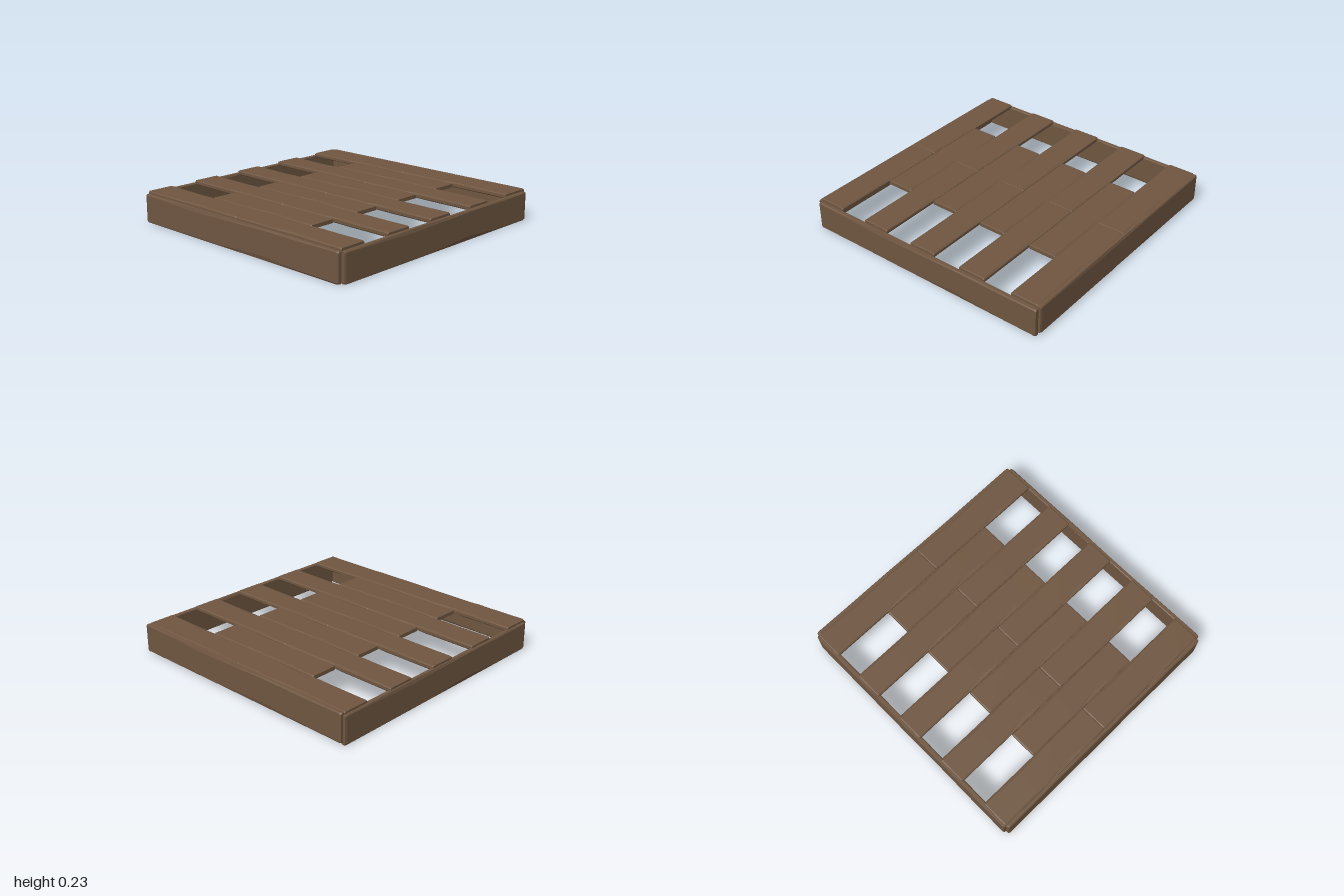
import * as THREE from 'three';

const wood = new THREE.MeshStandardMaterial({ color: 0x6f5641, flatShading: true, roughness: 0.9 });

// Worn plank along x, width along z, thickness along y: an eight-sided
// section whose chamfers widen and narrow along the length.
function plankGeometry(length, width, thick) {
  const c = Math.min(0.007, thick * 0.25);
  // position along the length, chamfer on the +z edge, chamfer on the -z edge, inset
  const stations = [
    [0, 0.04, 0.04, c], [0.008, 0.03, 0.04, 0], [0.33, 0.04, 0.12, 0], [0.42, 0.03, 0.09, 0],
    [0.65, 0.14, 0.04, 0], [0.82, 0.05, 0.05, 0], [0.992, 0.04, 0.03, 0], [1, 0.04, 0.04, c],
  ];
  const n = 8, pos = [], index = [];
  for (const [s, front, back, inset] of stations) {
    const x = (s - 0.5) * length, h = thick / 2 - inset * 0.5, w = width / 2 - inset * 0.5;
    const f = front * width, b = back * width;
    const ring = [
      [h, w - f], [h - c, w], [-h + c, w], [-h, w - b * 0.6],
      [-h, -w + f * 0.6], [-h + c, -w], [h - c, -w], [h, -w + b],
    ];
    for (const [y, z] of ring) pos.push(x, y, z);
  }
  const last = (stations.length - 1) * n;
  for (let i = 0; i < stations.length - 1; i++) {
    for (let j = 0; j < n; j++) {
      const a = i * n + j, b = i * n + (j + 1) % n;
      index.push(a, b, a + n, b, b + n, a + n);
    }
  }
  for (let j = 1; j < n - 1; j++) {
    index.push(0, j + 1, j);
    index.push(last, last + j, last + j + 1);
  }
  const g = new THREE.BufferGeometry();
  g.setAttribute('position', new THREE.Float32BufferAttribute(pos, 3));
  g.setIndex(index);
  const flat = g.toNonIndexed();
  flat.computeVertexNormals();
  return flat;
}

export function createModel() {
  const group = new THREE.Group();

  // Four upright boards around the edge; the model's own left is +x
  const board = plankGeometry(1.95, 0.216, 0.036).rotateX(Math.PI / 2);
  const sides = [
    ['frontBoard', 0, -0.005, 0.108, 0.982],
    ['leftBoard', 1, 0.982, 0.108, -0.005],
    ['backBoard', 2, -0.005, 0.125, -0.982],
    ['rightBoard', -1, -0.982, 0.108, -0.005],
  ];
  for (const [name, turn, x, y, z] of sides) {
    const m = new THREE.Mesh(board, wood);
    m.name = name;
    m.rotation.y = turn * Math.PI / 2;
    m.position.set(x, y, z);
    group.add(m);
  }

  // Top slats: pairs meeting in the middle alternate with single short ones
  const slat = plankGeometry(0.976, 0.2155, 0.034);
  const shortSlat = plankGeometry(0.992, 0.2155, 0.034);
  for (let row = 0; row < 9; row++) {
    const single = row % 2 === 1;
    for (const x of single ? [-0.004] : [-0.496, 0.48]) {
      const m = new THREE.Mesh(single ? shortSlat : slat, wood);
      m.name = single ? 'shortSlat' : 'slat';
      m.position.set(x, single ? 0.216 : 0.218, -0.866 + row * 0.2165);
      group.add(m);
    }
  }
  return group;
}
